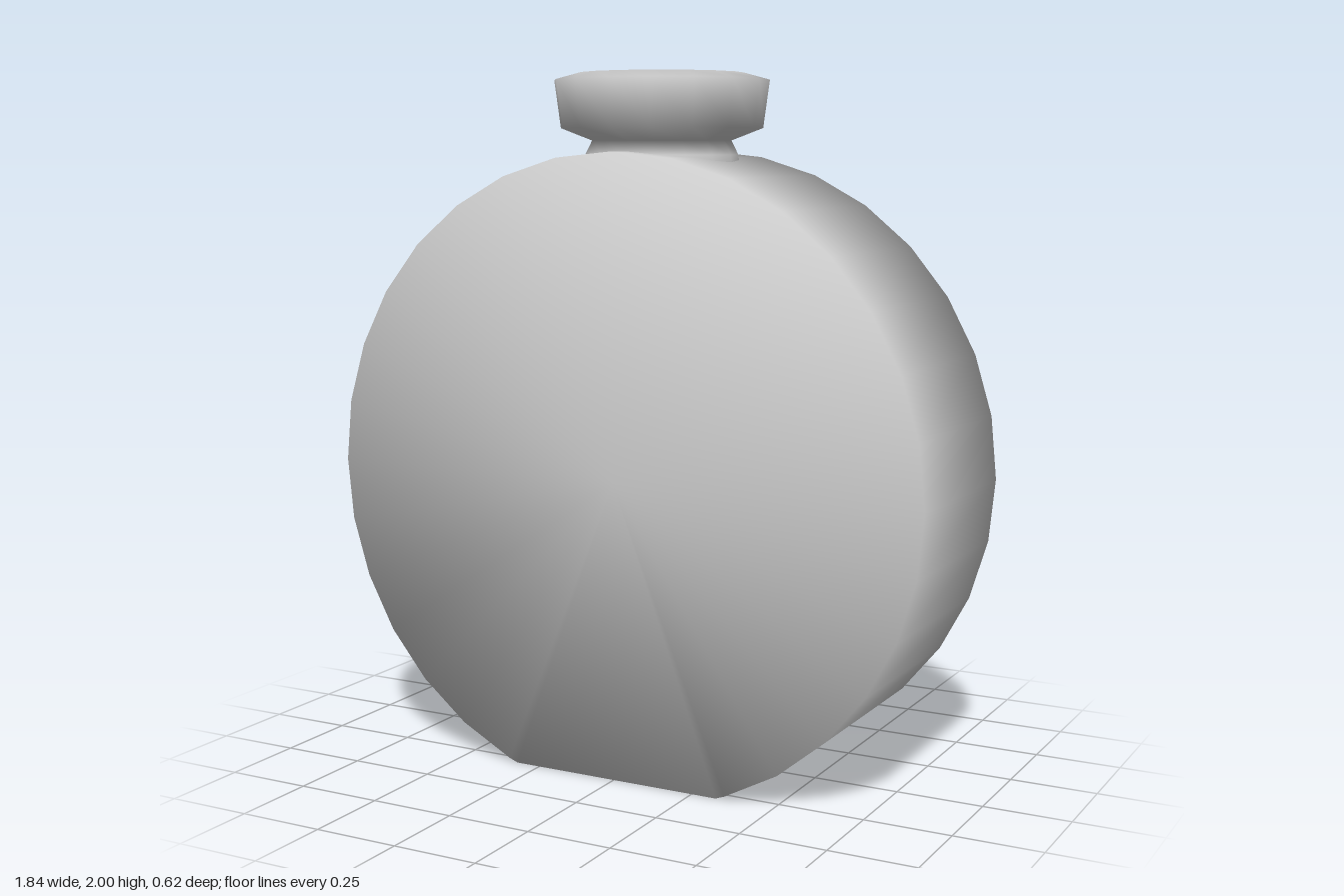
import * as THREE from 'three';

const CENTRE_Y = 0.86, RADIUS = 0.92, HALF_DEPTH = 0.29, SIDES = 32;

// Outline of the round body: a 32-sided circle cut off flat at the base
function bodyOutline() {
  const points = [];
  for (let i = 0; i < SIDES; i++) {
    const a = (i / SIDES) * Math.PI * 2;
    const x = RADIUS * Math.cos(a), y = CENTRE_Y + RADIUS * Math.sin(a);
    if (y >= 0) points.push([x, y]);
    // the two corners of the flat base
    else if (points[points.length - 1][1] > 0) points.push([-0.325, 0], [0.325, 0]);
  }
  return points;
}

// Flat-sided drum with shared vertices, so shading rolls softly over the edges
function bodyGeometry() {
  const outline = bodyOutline(), n = outline.length;
  const positions = [], index = [];
  for (const z of [HALF_DEPTH, -HALF_DEPTH]) {
    for (const [x, y] of outline) positions.push(x, y, z);
  }
  positions.push(0, CENTRE_Y, HALF_DEPTH, 0, CENTRE_Y, -HALF_DEPTH);
  for (let i = 0; i < n; i++) {
    const j = (i + 1) % n;
    index.push(2 * n, i, j);                   // front face
    index.push(2 * n + 1, n + j, n + i);       // back face
    index.push(i, n + i, n + j, i, n + j, j);  // side wall
  }
  const geometry = new THREE.BufferGeometry();
  geometry.setAttribute('position', new THREE.Float32BufferAttribute(positions, 3));
  geometry.setIndex(index);
  geometry.computeVertexNormals();
  return geometry;
}

// Short neck, thick lip and the opening inside it
function neckGeometry() {
  const profile = [
    [0.225, 1.72], [0.22, 1.77], [0.2, 1.81], [0.29, 1.845], [0.308, 1.98],
    [0.235, 2.0], [0.215, 1.97], [0.173, 1.87], [0.19, 1.74],
  ];
  return new THREE.LatheGeometry(profile.map(([r, y]) => new THREE.Vector2(r, y)), 16);
}

export function createModel() {
  const group = new THREE.Group();
  group.name = 'flask';
  const material = new THREE.MeshStandardMaterial({ color: 0xcccccc });
  const add = (name, geometry) => {
    const mesh = new THREE.Mesh(geometry, material);
    mesh.name = name;
    group.add(mesh);
  };
  add('body', bodyGeometry());
  add('neckAndLip', neckGeometry());
  return group;
}
